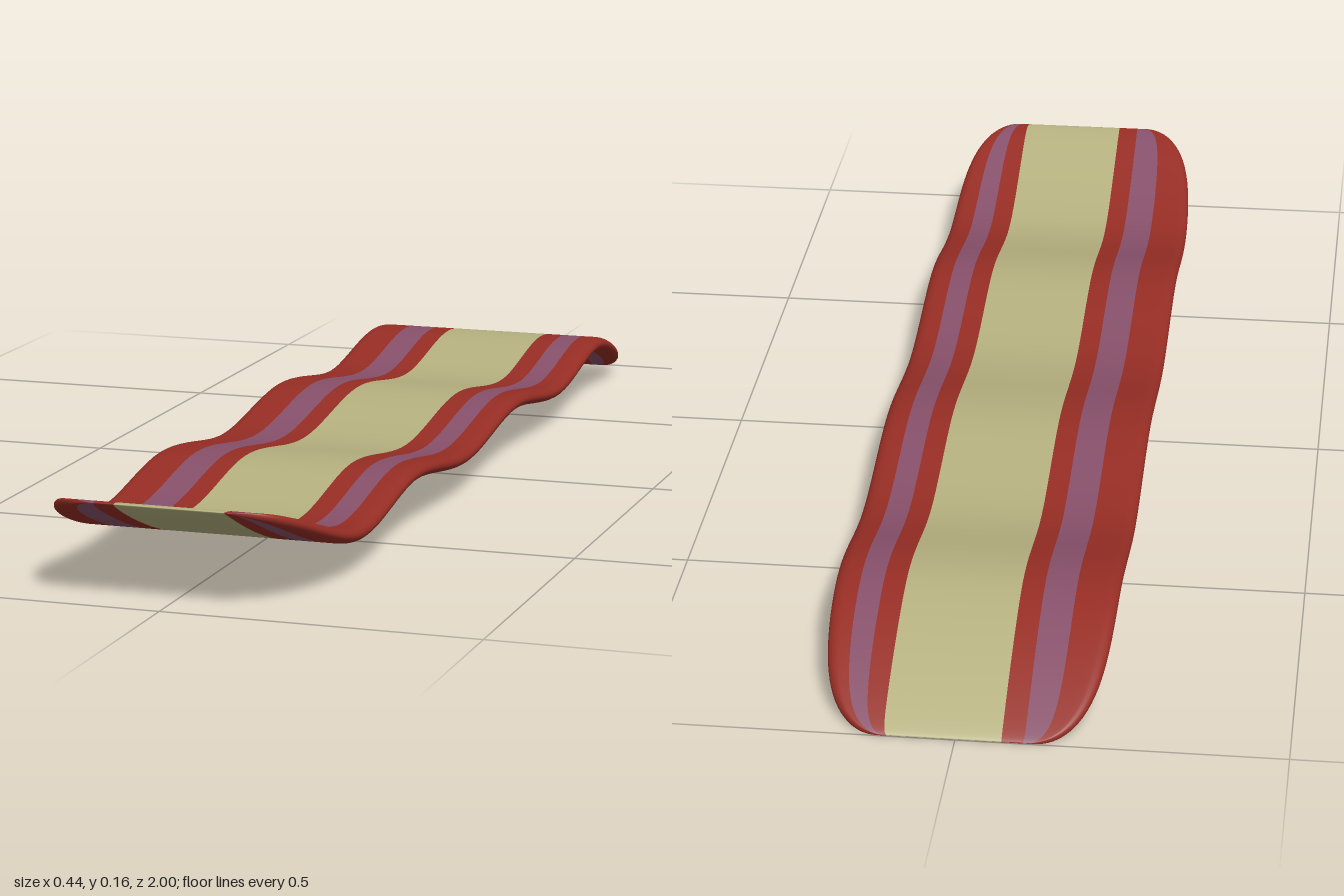
import * as THREE from 'three';
import { mergeVertices } from 'three/addons/utils/BufferGeometryUtils.js';

const HALF_WIDTH = 0.222, CORE = 0.1, HALF_THICK = 0.0125, ROWS = 112;

// wavy centre line: one crest or trough every 2/7 along the length, ends bent down and up
const heights = [0.002, 0.098, 0.067, 0.098, 0.067, 0.098, 0.067, 0.158];
const wave = new THREE.SplineCurve(heights.map((y, i) => new THREE.Vector2(-1 + (2 * i) / 7, y)));

// 1 along the strip, falling to 0 at both rounded ends
const endRound = z => Math.sqrt(Math.max(0, 1 - Math.pow(Math.abs(z), 12)));

// point on the upper (side = 1) or lower (side = -1) skin
function skin(t, b, side) {
  const p = wave.getPoint(t), e = endRound(p.x);
  const w = 0.11 + (HALF_WIDTH - 0.11) * e;
  // columns outside the core are drawn in where the corners round off
  const q = Math.max(0, (Math.abs(b) - CORE) / (HALF_WIDTH - CORE));
  const u = (w - CORE) / (HALF_WIDTH - CORE);
  const x = Math.sign(b) * (Math.abs(b) - (HALF_WIDTH - w) * Math.pow(q, 1 + u));
  // the long edges are rounded over the last few hundredths
  const d = Math.min(1, Math.max(0, (Math.abs(b) - 0.202) / 0.02));
  const h = HALF_THICK * e * Math.sqrt(Math.max(0, 1 - d * d));
  return [x, p.y + side * h, p.x];
}

// a lengthwise stripe covering both skins
function stripe(name, color, columns) {
  const pos = [], index = [], n = columns.length;
  for (const side of [1, -1]) {
    const base = pos.length / 3;
    for (let i = 0; i <= ROWS; i++) {
      const t = 0.5 + 0.5 * Math.sin((i / ROWS - 0.5) * Math.PI); // denser rows near the ends
      for (const b of columns) pos.push(...skin(t, b, side));
    }
    for (let i = 0; i < ROWS; i++) {
      for (let j = 0; j < n - 1; j++) {
        const a = base + i * n + j, c = a + 1, d = a + n, f = d + 1;
        if (side > 0) index.push(a, d, c, c, d, f);
        else index.push(a, c, d, c, f, d);
      }
    }
  }
  let geo = new THREE.BufferGeometry();
  geo.setAttribute('position', new THREE.Float32BufferAttribute(pos, 3));
  geo.setIndex(index);
  geo = mergeVertices(geo, 1e-6);
  geo.computeVertexNormals();
  const mesh = new THREE.Mesh(geo, new THREE.MeshStandardMaterial({ color, side: THREE.DoubleSide }));
  mesh.name = name;
  return mesh;
}

// evenly spaced columns from a to b
const span = (a, b, n) => Array.from({ length: n + 1 }, (_, i) => a + ((b - a) * i) / n);

export function createModel() {
  const RED = 0x962d24, PURPLE = 0x87506a, FAT = 0xb5b07f;
  const rim = [0.202, 0.208, 0.213, 0.217, 0.22, 0.2215, HALF_WIDTH];
  const group = new THREE.Group();
  group.name = 'baconStrip';
  group.add(
    stripe('rightOuterMeat', RED, [...rim.map(b => -b).reverse(), -0.185, -0.17, -0.155]),
    stripe('rightDarkStreak', PURPLE, span(-0.155, -0.105, 4)),
    stripe('rightInnerMeat', RED, span(-0.105, -0.07, 2)),
    stripe('fat', FAT, span(-0.07, 0.11, 6)),
    stripe('leftInnerMeat', RED, span(0.11, 0.145, 3)),
    stripe('leftDarkStreak', PURPLE, span(0.145, 0.182, 4)),
    stripe('leftOuterMeat', RED, [0.182, 0.192, ...rim])
  );
  return group;
}
